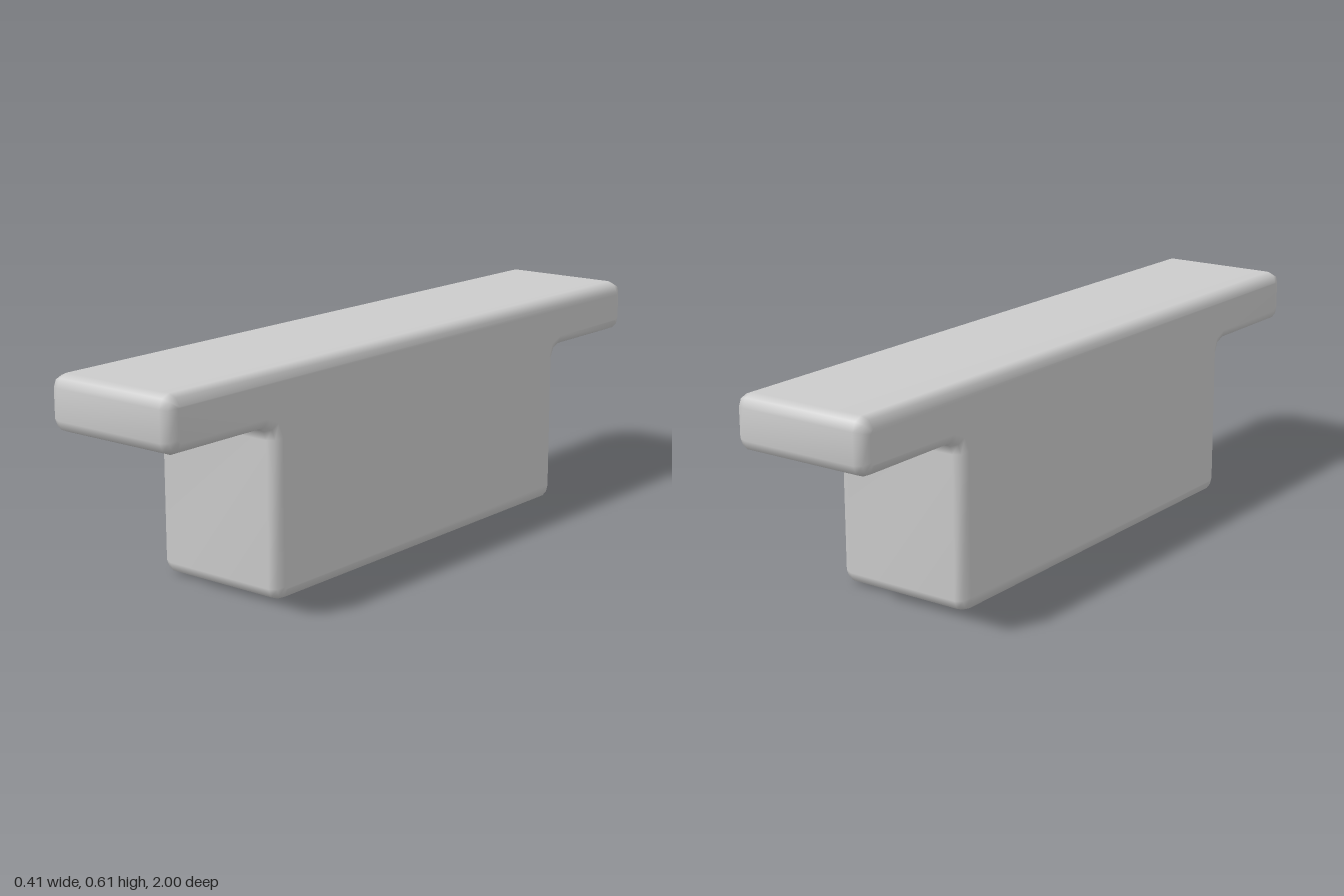
import * as THREE from 'three';
import { mergeVertices } from 'three/addons/utils/BufferGeometryUtils.js';

const WIDTH = 0.408, HEIGHT = 0.61, BAR_BOTTOM = 0.46;
const BAR_HALF = 1, STEM_HALF = 0.627;
const BEVEL = 0.03, RADIUS = 0.034;

// T-shaped side profile with every corner rounded
function tProfile() {
  const half = [[STEM_HALF, 0], [STEM_HALF, BAR_BOTTOM], [BAR_HALF, BAR_BOTTOM], [BAR_HALF, HEIGHT]];
  const mirrored = half.map(([a, y]) => [-a, y]).reverse();
  const corners = [...half, ...mirrored].map(([a, y]) => new THREE.Vector2(a, y));
  const shape = new THREE.Shape();
  corners.forEach((p, i) => {
    const n = corners.length;
    const toPrev = corners[(i + n - 1) % n].clone().sub(p).normalize();
    const toNext = corners[(i + 1) % n].clone().sub(p).normalize();
    const centre = p.clone().addScaledVector(toPrev, RADIUS).addScaledVector(toNext, RADIUS);
    // the arc touches each edge opposite the other edge's direction
    const start = toNext.clone().negate().angle();
    const end = toPrev.clone().negate().angle();
    const clockwise = toPrev.cross(toNext) > 0;
    shape.absarc(centre.x, centre.y, RADIUS, start, end, clockwise);
  });
  shape.closePath();
  return shape;
}

export function createModel() {
  const group = new THREE.Group();
  group.name = 'tBlock';

  // Extruded across the width with rounded side edges
  let geometry = new THREE.ExtrudeGeometry(tProfile(), {
    depth: WIDTH - 2 * BEVEL,
    curveSegments: 1,
    bevelEnabled: true,
    bevelThickness: BEVEL,
    bevelSize: BEVEL,
    bevelOffset: -BEVEL,
    bevelSegments: 2,
  });
  geometry.translate(0, 0, -(WIDTH / 2 - BEVEL));
  geometry.rotateY(Math.PI / 2);

  // Shared vertices give smooth shading over the rounded edges
  geometry.deleteAttribute('normal');
  geometry.deleteAttribute('uv');
  geometry = mergeVertices(geometry, 1e-4);
  geometry.computeVertexNormals();

  const body = new THREE.Mesh(geometry, new THREE.MeshStandardMaterial({ color: 0xcccccc }));
  body.name = 'barAndStem';
  group.add(body);
  return group;
}
